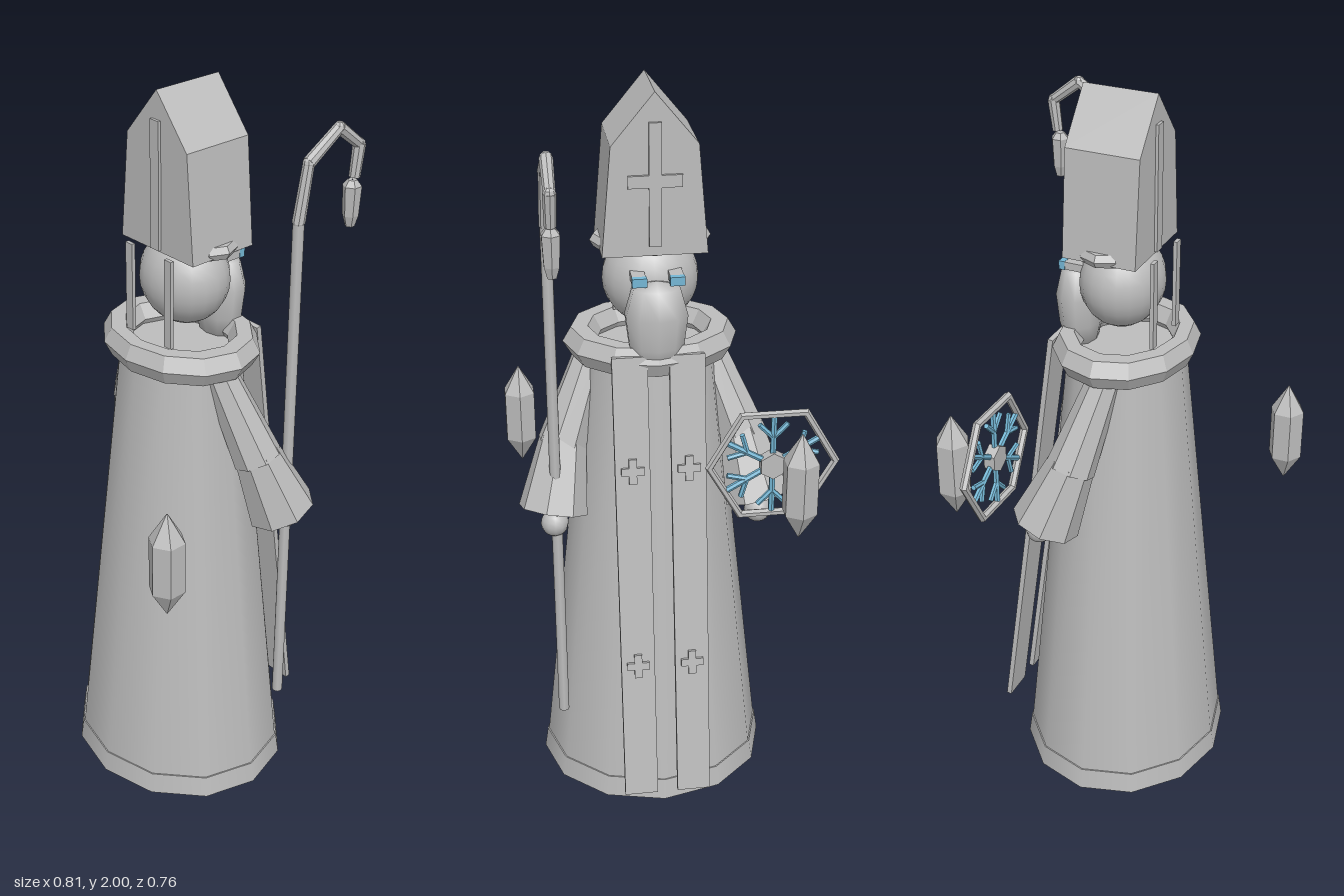
import * as THREE from 'three';
import { RoundedBoxGeometry } from 'three/addons/geometries/RoundedBoxGeometry.js';

export function createModel() {
  const model = new THREE.Group();
  model.name = 'robedBishop';
  const stone = new THREE.MeshStandardMaterial({ name: 'plainGrey', color: 0xbcbcbc });
  const facet = new THREE.MeshStandardMaterial({ name: 'plainGreyFaceted', color: 0xbcbcbc, flatShading: true });
  const blue = new THREE.MeshStandardMaterial({ name: 'iceBlue', color: 0x74b6d4, flatShading: true });
  const CX = 0.04; // the figure stands slightly off centre; its face points to -z

  function add(name, geo, mat, x = 0, y = 0, z = 0, parent = model) {
    const m = new THREE.Mesh(geo, mat);
    m.name = name;
    m.position.set(x, y, z);
    parent.add(m);
    return m;
  }
  const box = (w, h, d) => new THREE.BoxGeometry(w, h, d);

  // Tapered round bar between two points
  function bar(name, a, b, ra, rb, sides, mat, parent = model) {
    const A = new THREE.Vector3(...a), B = new THREE.Vector3(...b);
    const dir = B.clone().sub(A);
    const m = add(name, new THREE.CylinderGeometry(rb, ra, dir.length(), sides), mat, 0, 0, 0, parent);
    m.position.copy(A).add(B).multiplyScalar(0.5);
    m.quaternion.setFromUnitVectors(new THREE.Vector3(0, 1, 0), dir.normalize());
    return m;
  }
  function lathe(points, sides) {
    return new THREE.LatheGeometry(points.map(p => new THREE.Vector2(...p)), sides);
  }
  // Upright cross of two plates
  function cross(name, w, h, t, d, barY, x, y, z, parent) {
    const g = new THREE.Group();
    g.name = name;
    g.position.set(x, y, z);
    add('crossUpright', box(t, h, d), facet, 0, 0, 0, g);
    add('crossArm', box(w, t, d), facet, 0, barY, 0, g);
    parent.add(g);
  }

  // Robe, hem and collar, flattened front to back
  add('robe', new THREE.CylinderGeometry(0.165, 0.303, 1.25, 12), stone, CX, 0.705, 0).scale.z = 0.9;
  add('hem', new THREE.CylinderGeometry(0.301, 0.31, 0.06, 12), stone, CX, 0.1, 0).scale.z = 0.9;
  const collarGeo = new THREE.TorusGeometry(0.178, 0.043, 6, 12).rotateX(Math.PI / 2);
  add('collar', collarGeo, facet, CX, 1.345, 0).scale.z = 0.82;

  // Head, eyes and beard
  add('head', new THREE.SphereGeometry(0.12, 20, 14), stone, CX, 1.515, -0.012).scale.z = 0.89;
  for (const s of [-1, 1]) add('eye', box(0.036, 0.022, 0.016), blue, CX - 0.003 + s * 0.046, 1.552, -0.152 + 0.004);
  for (const s of [-1, 1]) add('eyeSocket', box(0.034, 0.02, 0.06), facet, CX - 0.003 + s * 0.046, 1.552, -0.112);
  const beard = lathe([[0.001, 1.31], [0.052, 1.318], [0.07, 1.38], [0.08, 1.46], [0.06, 1.53], [0.001, 1.545]], 10);
  add('beard', beard, stone, CX, 0, -0.128).scale.z = 0.74;

  // Tall pointed hat, extruded front to back
  const hat = new THREE.Shape([[-0.128, 1.605], [0.128, 1.605], [0.104, 1.875], [0, 2], [-0.104, 1.875]]
    .map(p => new THREE.Vector2(...p)));
  add('hat', new THREE.ExtrudeGeometry(hat, { depth: 0.193, bevelEnabled: false }), facet, CX, 0, -0.115);
  const brimGeo = new THREE.TorusGeometry(0.13, 0.019, 6, 12).rotateX(Math.PI / 2);
  add('hatBrim', brimGeo, facet, CX, 1.617, -0.02).scale.z = 0.62;
  add('hatBackBand', box(0.03, 0.32, 0.009), facet, CX, 1.77, 0.081);
  cross('hatCross', 0.13, 0.3, 0.03, 0.009, 0.01, CX, 1.78, -0.118, model);
  for (const s of [-1, 1]) add('lappet', box(0.024, 0.23, 0.01), facet, CX + s * 0.07, 1.495, 0.102);

  // Two hanging bands with small crosses
  for (const s of [-1, 1]) {
    const band = new THREE.Group();
    band.name = 'stole';
    band.position.set(CX + s * 0.071, 0.755, -0.245);
    band.rotation.x = 0.138;
    add('stoleBand', box(0.088, 1.23, 0.014), facet, 0, 0, 0, band);
    for (const y of [-0.225, 0.32]) cross('stoleCross', 0.058, 0.066, 0.02, 0.014, 0, 0, y, -0.008, band);
    model.add(band);
  }

  // Arms with flared cuffs, hands and shoes
  for (const s of [-1, 1]) {
    const at = (x, y, z) => [CX + s * x, y, z];
    const elbow = at(0.235, 1.08, -0.05);
    bar('upperSleeve', at(0.145, 1.32, 0.01), elbow, 0.042, 0.064, 8, facet);
    bar('cuff', at(0.23, 1.1, -0.045), at(0.267, 0.92, -0.108), 0.06, 0.09, 8, facet);
    add('hand', new THREE.SphereGeometry(0.036, 12, 8), stone, ...at(0.265, 0.893, -0.127));
    add('shoe', new RoundedBoxGeometry(0.1, 0.052, 0.176, 1, 0.018), facet, CX + s * 0.097, 0.03, -0.088);
  }

  // Staff with an angular crook and hanging lantern
  const SX = 0.3;
  const crook = [[0.3, -0.133], [1.7, -0.133], [1.84, -0.158], [1.902, -0.255], [1.845, -0.328], [1.765, -0.318]];
  for (let i = 0; i < crook.length - 1; i++) {
    const [a, b] = [crook[i], crook[i + 1]];
    const r = i ? 0.016 : 0.014;
    bar(i ? 'crook' : 'staff', [SX, ...a], [SX, ...b], r, i ? 0.014 : r, 8, i ? facet : stone);
    if (i) add('crookJoint', new THREE.SphereGeometry(0.015, 8, 6), facet, SX, ...a);
  }
  const lantern = lathe([[0.001, -0.06], [0.012, -0.058], [0.02, -0.03], [0.024, 0.045], [0.012, 0.06], [0.001, 0.06]], 6);
  add('lantern', lantern, facet, SX, 1.7, -0.312);

  // Snowflake: hexagonal ring, hub and branching blue spokes
  const flake = new THREE.Group();
  flake.name = 'snowflake';
  flake.position.set(-0.236, 1.087, -0.243);
  add('ring', new THREE.TorusGeometry(0.16, 0.011, 6, 6), facet, 0, 0, 0, flake);
  add('hub', new THREE.CylinderGeometry(0.036, 0.036, 0.03, 6).rotateX(Math.PI / 2), facet, 0, 0, 0, flake);
  for (let i = 0; i < 6; i++) {
    const spoke = new THREE.Group();
    spoke.name = 'spoke';
    spoke.rotation.z = i * Math.PI / 3;
    bar('spokeStem', [0, 0.02, 0], [0, 0.132, 0], 0.008, 0.008, 6, blue, spoke);
    for (const s of [-1, 1]) bar('spokeBranch', [0, 0.075, 0], [s * 0.036, 0.112, 0], 0.007, 0.007, 6, blue, spoke);
    flake.add(spoke);
  }
  model.add(flake);

  // Floating crystals
  const crystal = lathe([[0.001, -0.145], [0.046, -0.07], [0.046, 0.07], [0.001, 0.145]], 6);
  for (const p of [[0.364, 0.98, 0.333], [-0.288, 1.07, -0.335]]) add('crystal', crystal, facet, ...p);

  return model;
}
